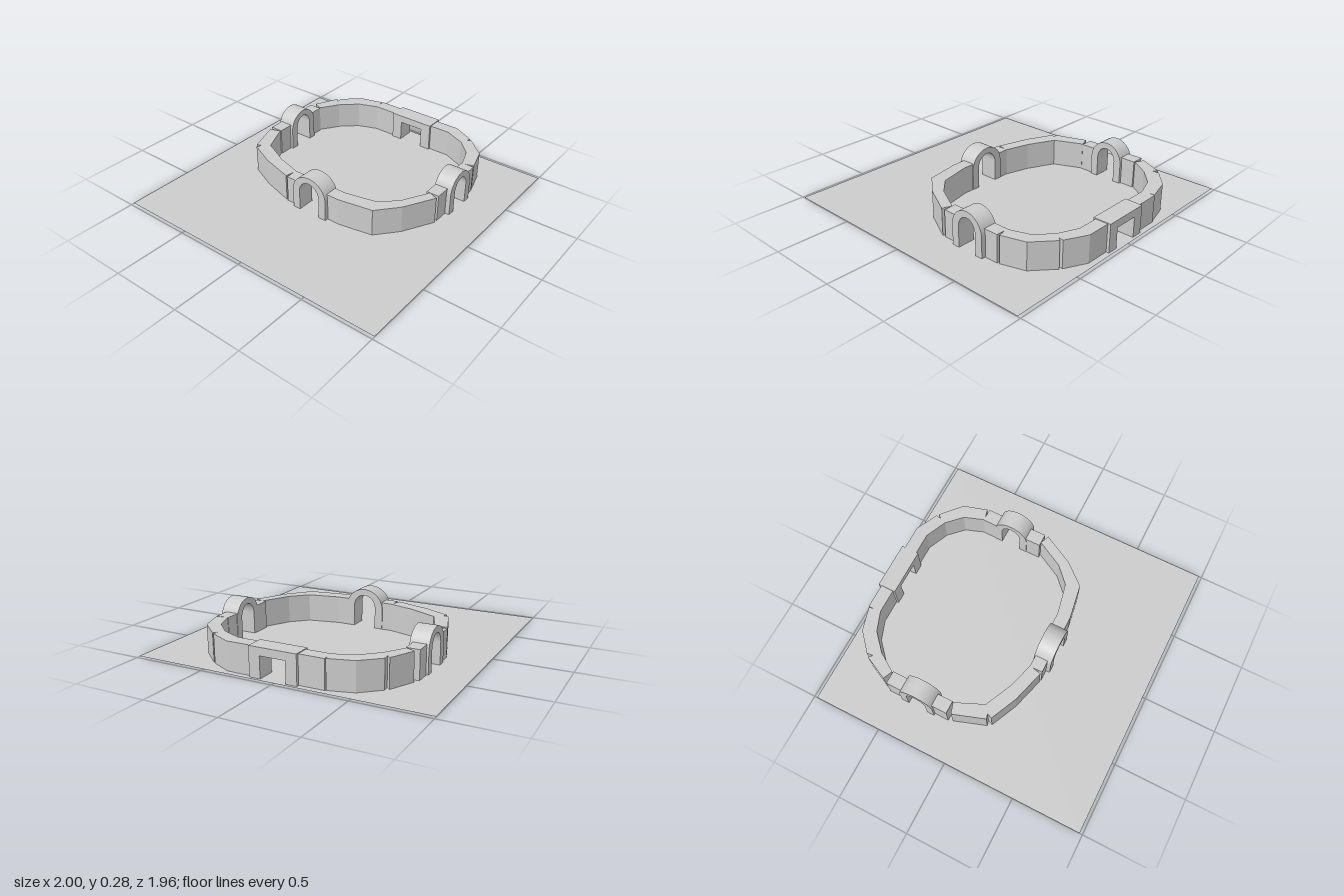
import * as THREE from 'three';

const WALL_H = 0.195;
const GROUND_Y = 0.004;

export function createModel() {
  const model = new THREE.Group();
  const mat = new THREE.MeshStandardMaterial({ color: 0xcccccc, flatShading: true });

  const add = (name, geometry, material = mat) => {
    const mesh = new THREE.Mesh(geometry, material);
    mesh.name = name;
    model.add(mesh);
    return mesh;
  };

  // Wall with a plan outline of [x, z] corners, raised from the ground
  const wall = (name, plan) => {
    const shape = new THREE.Shape(plan.map(([x, z]) => new THREE.Vector2(x, -z)));
    const geo = new THREE.ExtrudeGeometry(shape, { depth: WALL_H, bevelEnabled: false });
    add(name, geo.rotateX(-Math.PI / 2));
  };
  const straight = (name, x0, x1, z0, z1) =>
    wall(name, [[x0, z0], [x1, z0], [x1, z1], [x0, z1]]);

  // Flat ground sheet
  const groundMat = mat.clone();
  groundMat.side = THREE.DoubleSide;
  add('ground', new THREE.PlaneGeometry(2, 1.96).rotateX(-Math.PI / 2), groundMat)
    .position.y = GROUND_Y;

  // Curved corner walls: outer edge, then inner edge back, with small joint notches
  wall('backRightCornerWall', [
    [-0.715, -0.595], [-0.635, -0.76], [-0.61, -0.735], [-0.615, -0.78], [-0.49, -0.89],
    [-0.325, -0.935], [-0.315, -0.85], [-0.45, -0.8], [-0.565, -0.695], [-0.65, -0.565],
  ]);
  wall('backLeftCornerWall', [
    [0.15, -0.94], [0.345, -0.94], [0.495, -0.865], [0.49, -0.83], [0.51, -0.855],
    [0.65, -0.73], [0.7, -0.565], [0.62, -0.545], [0.57, -0.685], [0.47, -0.785],
    [0.325, -0.85], [0.15, -0.85],
  ]);
  wall('frontLeftCornerWall', [
    [0.705, -0.085], [0.59, 0.13], [0.465, 0.275], [0.225, 0.315],
    [0.215, 0.225], [0.43, 0.18], [0.54, 0.075], [0.64, -0.11],
  ]);
  wall('frontRightCornerWall', [
    [-0.725, -0.085], [-0.65, 0.135], [-0.615, 0.125], [-0.63, 0.16], [-0.445, 0.245],
    [-0.22, 0.31], [-0.2, 0.225], [-0.375, 0.175], [-0.565, 0.085], [-0.65, -0.11],
  ]);

  // Straight wall stubs beside the gates
  straight('backWallStub', -0.32, -0.1, -0.94, -0.85);
  straight('rightWallStubBack', -0.735, -0.645, -0.56, -0.43);
  straight('rightWallStubFront', -0.735, -0.645, -0.25, -0.115);
  straight('leftWallStubBack', 0.615, 0.705, -0.55, -0.43);
  straight('leftWallStubFront', 0.615, 0.705, -0.24, -0.11);
  straight('frontWallStubRight', -0.205, -0.09, 0.225, 0.315);
  straight('frontWallStubLeft', 0.1, 0.225, 0.225, 0.315);

  // Round-topped gate: outer and inner half widths, passage along z
  const arch = (name, outer, inner, x, z, turned) => {
    const s = new THREE.Shape();
    const spring = 0.15, base = 0.007;
    s.moveTo(outer, base);
    s.lineTo(outer, spring);
    s.absellipse(0, spring, outer, 0.127, 0, Math.PI, false);
    s.lineTo(-outer, base);
    s.lineTo(-inner, base);
    s.lineTo(-inner, spring);
    s.absellipse(0, spring, inner, 0.085, Math.PI, 0, true);
    s.lineTo(inner, base);
    s.closePath();
    const geo = new THREE.ExtrudeGeometry(s, { depth: 0.125, bevelEnabled: false, curveSegments: 16 });
    geo.translate(0, 0, -0.0625);
    if (turned) geo.rotateY(Math.PI / 2);
    add(name, geo).position.set(x, 0, z);
  };
  arch('frontArchGate', 0.135, 0.08, 0.005, 0.28, false);
  arch('leftArchGate', 0.123, 0.07, 0.674, -0.333, true);
  arch('rightArchGate', 0.123, 0.07, -0.687, -0.338, true);

  // Square-headed back gate
  const gate = new THREE.Shape([
    [-0.15, 0.004], [-0.075, 0.004], [-0.075, 0.147], [0.1, 0.147],
    [0.1, 0.004], [0.175, 0.004], [0.175, 0.2], [-0.15, 0.2],
  ].map(([x, y]) => new THREE.Vector2(x, y)));
  add('backGate', new THREE.ExtrudeGeometry(gate, { depth: 0.125, bevelEnabled: false }))
    .position.z = -0.96;

  return model;
}
